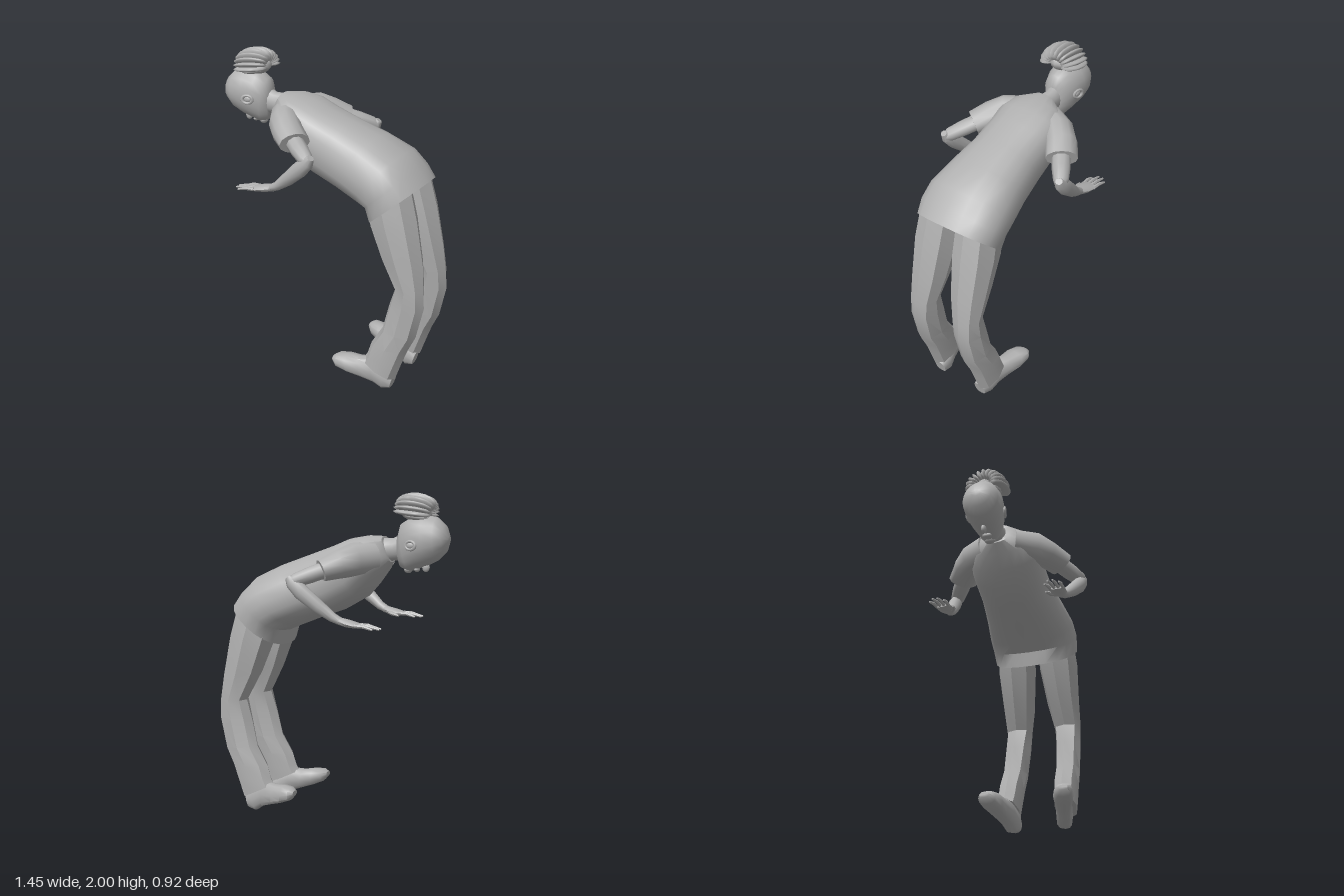
import * as THREE from 'three';
import { toCreasedNormals } from 'three/addons/utils/BufferGeometryUtils.js';

const grey = new THREE.MeshStandardMaterial({ color: 0xb0b0b0 });
grey.name = 'plain grey';
const V = (x, y, z) => new THREE.Vector3(x, y, z);

// Skin a row of rings {c, u, v} with capped ends
function loft(name, rings, sides = 12, power = 1, crease = 0.8) {
  const pos = [], idx = [], n = sides;
  const bend = t => Math.sign(t) * Math.abs(t) ** power;
  for (const { c, u, v } of rings) {
    for (let i = 0; i < n; i++) {
      const t = i / n * Math.PI * 2;
      const p = c.clone().addScaledVector(u, bend(Math.cos(t))).addScaledVector(v, bend(Math.sin(t)));
      pos.push(p.x, p.y, p.z);
    }
  }
  const last = rings.length - 1, capA = rings.length * n, capB = capA + 1;
  for (const r of [rings[0], rings[last]]) pos.push(r.c.x, r.c.y, r.c.z);
  for (let i = 0; i < n; i++) {
    const j = (i + 1) % n;
    for (let k = 0; k < last; k++) {
      const a = k * n + i, b = k * n + j;
      idx.push(a, b, b + n, a, b + n, a + n);
    }
    idx.push(capA, j, i, capB, last * n + i, last * n + j);
  }
  // Turn the faces outward when the enclosed volume is negative
  let volume = 0;
  const at = i => V(pos[i * 3], pos[i * 3 + 1], pos[i * 3 + 2]).sub(rings[0].c);
  for (let i = 0; i < idx.length; i += 3) volume += at(idx[i]).dot(at(idx[i + 1]).cross(at(idx[i + 2])));
  if (volume < 0) idx.reverse();
  let geo = new THREE.BufferGeometry();
  geo.setAttribute('position', new THREE.Float32BufferAttribute(pos, 3));
  geo.setIndex(idx);
  geo = toCreasedNormals(geo, crease);
  const mesh = new THREE.Mesh(geo, grey);
  mesh.name = name;
  return mesh;
}

// Rows: front point x,y, back point x,y, centre z, half width
const profile = (rows, s = 1) => rows.map(([fx, fy, bx, by, z, w]) => ({
  c: V((fx + bx) / 2, (fy + by) / 2, z * s), u: V(0, 0, w), v: V((bx - fx) / 2, (by - fy) / 2, 0),
}));

// Rows: centre x,y,z, half height, half width, square to the path
function limb(rows, s = 1) {
  const c = rows.map(r => V(r[0], r[1], r[2] * s));
  return rows.map((r, i) => {
    const t = c[Math.min(i + 1, c.length - 1)].clone().sub(c[Math.max(i - 1, 0)]).normalize();
    const v = V(0, 1, 0).addScaledVector(t, -t.y).normalize();
    const u = v.clone().cross(t);
    return { c: c[i], u: u.multiplyScalar(r[4]), v: v.multiplyScalar(r[3]) };
  });
}

function ball(name, p, scale, detail = 12) {
  const m = new THREE.Mesh(new THREE.SphereGeometry(1, detail, 8), grey);
  m.name = name;
  m.position.set(...p);
  m.scale.set(...scale);
  return m;
}

function makeHead() {
  const head = new THREE.Group();
  head.name = 'head';
  head.add(loft('skull', profile([
    [-0.43, 1.56, -0.41, 1.75, 0, 0.055], [-0.48, 1.535, -0.43, 1.82, 0, 0.085],
    [-0.54, 1.555, -0.49, 1.855, 0, 0.108], [-0.60, 1.575, -0.57, 1.872, 0, 0.12],
    [-0.66, 1.605, -0.65, 1.86, 0, 0.113], [-0.705, 1.65, -0.70, 1.815, 0, 0.085],
    [-0.727, 1.71, -0.727, 1.75, 0, 0.03],
  ]), 20, 1, 1.2));
  head.add(loft('neck', profile([
    [-0.49, 1.60, -0.44, 1.76, 0, 0.06], [-0.40, 1.60, -0.38, 1.735, 0, 0.052],
    [-0.34, 1.59, -0.32, 1.735, 0, 0.06], [-0.26, 1.56, -0.24, 1.72, 0, 0.08],
  ]), 14));
  head.add(ball('nose', [-0.585, 1.565, 0], [0.024, 0.03, 0.016]));
  head.add(ball('lips', [-0.53, 1.55, 0], [0.016, 0.015, 0.03]));
  head.add(ball('chin', [-0.475, 1.55, 0], [0.025, 0.024, 0.035]));
  for (const s of [1, -1]) {
    const ear = new THREE.Mesh(new THREE.TorusGeometry(0.026, 0.009, 6, 14), grey);
    ear.name = 'ear';
    ear.position.set(-0.525, 1.695, s * 0.112);
    ear.rotation.y = s * 0.25;
    ear.scale.set(1.25, 0.95, 1);
    head.add(ear, ball('innerEar', [-0.525, 1.695, s * 0.106], [0.026, 0.02, 0.012]));
  }
  return head;
}

// Hair bun: a fan of narrow locks around a core
function makeBun() {
  const bun = new THREE.Group();
  bun.name = 'hairBun';
  bun.position.set(-0.52, 1.882, 0);
  bun.rotation.z = 0.12;
  bun.add(ball('bunCore', [0, 0.005, 0], [0.1, 0.055, 0.075]));
  for (let i = -5; i <= 5; i++) {
    const a = i * 0.32;
    const lock = ball('hairLock', [0, Math.cos(a) * 0.062, Math.sin(a) * 0.078], [0.118, 0.056, 0.018], 10);
    lock.rotation.x = a;
    bun.add(lock);
  }
  bun.add(ball('bunBase', [-0.02, -0.02, 0], [0.09, 0.025, 0.09]));
  return bun;
}

function makeArm(s) {
  const arm = new THREE.Group();
  arm.name = s > 0 ? 'armFront' : 'armBack';
  arm.add(loft('sleeve', limb([
    [-0.27, 1.62, 0.08, 0.095, 0.09], [-0.20, 1.61, 0.20, 0.1, 0.095],
    [-0.14, 1.585, 0.265, 0.085, 0.095], [-0.055, 1.55, 0.33, 0.065, 0.095],
  ], s), 12));
  arm.add(loft('upperArm', limb([
    [-0.13, 1.58, 0.27, 0.05, 0.055], [0.0, 1.525, 0.365, 0.048, 0.055],
    [0.07, 1.495, 0.415, 0.042, 0.045], [0.105, 1.48, 0.43, 0.025, 0.025],
  ], s), 10));
  arm.add(loft('forearm', limb([
    [0.11, 1.515, 0.43, 0.02, 0.022], [0.085, 1.485, 0.425, 0.042, 0.035], [0.03, 1.43, 0.42, 0.048, 0.04],
    [-0.07, 1.345, 0.395, 0.04, 0.038], [-0.15, 1.285, 0.375, 0.028, 0.03], [-0.20, 1.262, 0.367, 0.022, 0.03],
  ], s), 10));
  arm.add(loft('palm', limb([
    [-0.18, 1.267, 0.368, 0.022, 0.028], [-0.24, 1.253, 0.362, 0.023, 0.048],
    [-0.29, 1.245, 0.364, 0.018, 0.05], [-0.32, 1.242, 0.366, 0.011, 0.046],
  ], s), 10));
  // Four fingers and a thumb
  const tips = [[-0.405, 0.318], [-0.44, 0.347], [-0.44, 0.377], [-0.41, 0.408]];
  tips.forEach(([x, z], i) => {
    const z0 = 0.328 + i * 0.025;
    arm.add(loft('finger', limb([
      [-0.30, 1.245, z0, 0.011, 0.012], [(x - 0.3) / 2, 1.243, (z + z0) / 2, 0.011, 0.011],
      [x, 1.228, z, 0.006, 0.006],
    ], s), 6));
  });
  arm.add(loft('thumb', limb([
    [-0.215, 1.255, 0.345, 0.016, 0.018], [-0.255, 1.243, 0.312, 0.013, 0.014],
    [-0.305, 1.232, 0.297, 0.006, 0.007],
  ], s), 6));
  return arm;
}

function makeLeg(s) {
  const leg = new THREE.Group();
  leg.name = s > 0 ? 'legFront' : 'legBack';
  leg.add(loft('trouserLeg', profile([
    [0.32, 1.20, 0.60, 1.32, 0.135, 0.125], [0.36, 1.08, 0.65, 1.13, 0.143, 0.128],
    [0.44, 0.89, 0.70, 0.87, 0.152, 0.107], [0.54, 0.71, 0.716, 0.71, 0.165, 0.086],
    [0.50, 0.58, 0.725, 0.60, 0.17, 0.08], [0.462, 0.42, 0.68, 0.40, 0.176, 0.075],
    [0.39, 0.30, 0.632, 0.30, 0.18, 0.075], [0.365, 0.22, 0.595, 0.20, 0.183, 0.073],
    [0.345, 0.185, 0.555, 0.085, 0.185, 0.07],
  ], s), 8, 0.9, 0.5));
  leg.add(loft('shoe', profile([
    [0.52, 0.01, 0.545, 0.10, 0.165, 0.04], [0.47, 0.0, 0.49, 0.15, 0.17, 0.053],
    [0.42, 0.035, 0.40, 0.20, 0.185, 0.053], [0.34, 0.062, 0.32, 0.192, 0.205, 0.055],
    [0.26, 0.088, 0.25, 0.20, 0.225, 0.065], [0.195, 0.115, 0.195, 0.197, 0.242, 0.056],
    [0.165, 0.15, 0.165, 0.18, 0.248, 0.03],
  ], s), 12, 0.75));
  return leg;
}

export function createModel() {
  const person = new THREE.Group();
  person.name = 'bendingPerson';
  // Loose shirt from hem to collar
  person.add(loft('shirt', profile([
    [0.33, 1.06, 0.645, 1.325, 0, 0.275], [0.31, 1.15, 0.585, 1.40, 0, 0.285],
    [0.24, 1.18, 0.50, 1.485, 0, 0.28], [0.10, 1.235, 0.33, 1.565, 0, 0.25],
    [-0.07, 1.295, 0.15, 1.63, 0, 0.222], [-0.20, 1.37, -0.02, 1.69, 0, 0.222],
    [-0.27, 1.45, -0.12, 1.73, 0, 0.225], [-0.33, 1.53, -0.23, 1.748, 0, 0.19],
    [-0.375, 1.59, -0.32, 1.745, 0, 0.085],
  ]), 20, 0.85));
  person.add(makeHead(), makeBun());
  for (const s of [1, -1]) person.add(makeArm(s), makeLeg(s));
  return person;
}
